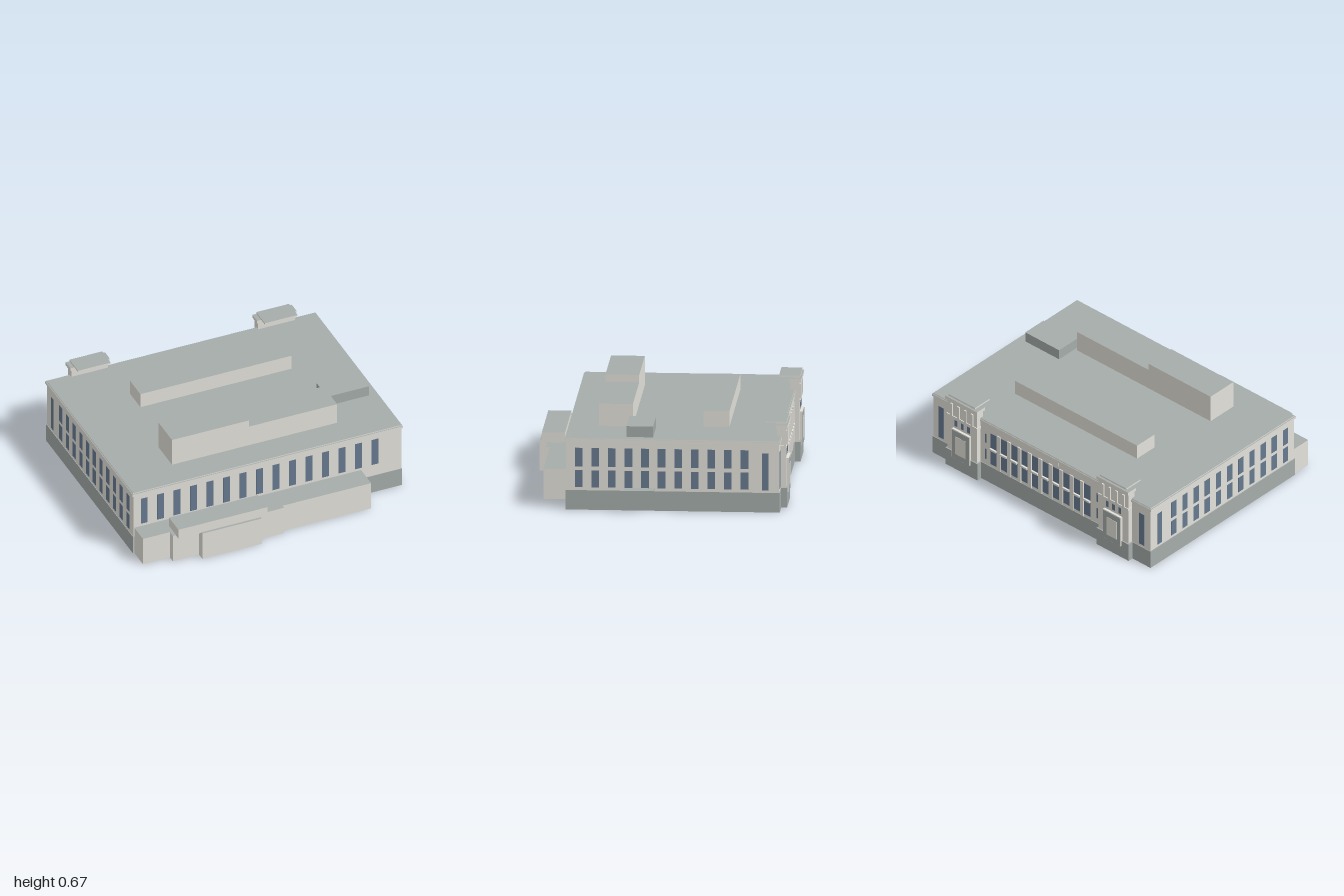
import * as THREE from 'three';

const mat = (name, color) => {
  const m = new THREE.MeshStandardMaterial({ color, side: THREE.DoubleSide });
  m.name = name;
  return m;
};

export function createModel() {
  const stone = mat('pale stone', 0xe4e2db);
  const grey = mat('grey stone and roofing', 0xa5adab);
  const glass = mat('blue glass', 0x687b91);
  const model = new THREE.Group();
  model.name = 'civicBuilding';

  // Box from its limits; top may differ in colour, faces in skip are left open
  // (face order: 0 +x, 1 -x, 2 +y, 3 -y, 4 +z, 5 -z)
  function block(name, [x0, x1], [y0, y1], [z0, z1], side = stone, top = side, skip = [], parent = model) {
    const g = new THREE.BoxGeometry(x1 - x0, y1 - y0, z1 - z0);
    const all = Array.from(g.index.array), index = [];
    g.clearGroups();
    for (let f = 0; f < 6; f++) {
      if (skip.includes(f)) continue;
      g.addGroup(index.length, 6, f === 2 ? 1 : 0);
      index.push(...all.slice(f * 6, f * 6 + 6));
    }
    g.setIndex(index);
    g.translate((x0 + x1) / 2, (y0 + y1) / 2, (z0 + z1) / 2);
    if (side === top) g.clearGroups();
    const mesh = new THREE.Mesh(g, side === top ? side : [side, top]);
    mesh.name = name;
    parent.add(mesh);
    return mesh;
  }
  const around = (c, half) => [c - half, c + half];

  // Window plates on a wall facing z or x
  const T = 0.0015;
  const windowZ = (name, x, w, y, z, parent) => block(name, around(x, w / 2), y, around(z, T), glass, glass, [], parent);
  const windowX = (name, z, w, y, x) => block(name, around(x, T), y, around(z, w / 2), glass);

  // Main volume: plinth open underneath, body on top of it
  const X = [-0.991, 0.915], Z = [-0.79, 0.6];
  block('basePlinth', [-0.995, 0.919], [0, 0.13], [-0.794, 0.603], grey, grey, [3, 4]);
  block('frontPlinth', [0.627, 0.919], [0, 0.13], [0.6, 0.603], grey);
  block('mainBody', X, [0.13, 0.455], Z, stone, stone, [2, 3]);
  block('cornice', [-1, 0.922], [0.452, 0.468], [-0.797, 0.608], stone, grey);
  block('roofEdge', [-0.993, 0.915], [0.468, 0.475], [-0.79, 0.6], stone, grey);

  // Front windows
  for (let i = 0; i < 15; i++) windowZ('frontWindow', -0.914 + i * 0.1172, 0.048, [0.217, 0.415], Z[1]);

  // Side windows: two rows and one tall window near the back
  for (const x of X) {
    for (let i = 0; i < 11; i++) {
      const z = 0.516 - i * 0.108;
      windowX('sideWindowLower', z, 0.05, [0.149, 0.263], x);
      windowX('sideWindowUpper', z, 0.05, [0.288, 0.412], x);
    }
    windowX('sideWindowTall', -0.7, 0.042, [0.147, 0.393], x);
  }

  // Canopy on the left side
  block('sideCanopy', [0.915, 1], [0.138, 0.149], [0.02, 0.22], grey);

  // Low front annexes, open underneath
  const annex = (x, z, name = 'frontAnnex') => block(name, x, [0, 0.2], z, stone, grey, [3, 5]);
  annex([-0.985, -0.794], [0.602, 0.742]);
  annex([-0.794, -0.003], [0.602, 0.79]);
  annex([-0.003, 0.627], [0.602, 0.765]);
  annex([-0.608, -0.185], [0.79, 0.843], 'frontVestibule');
  block('annexUpperBlock', [-0.77, -0.138], [0.195, 0.266], [0.675, 0.826], stone, grey);

  // Rooftop volumes
  block('roofHouseTall', [-0.631, -0.084], [0.47, 0.671], [0.188, 0.408], stone, grey);
  block('roofHouseLow', [-0.084, 0.543], [0.47, 0.622], [0.188, 0.408], stone, grey);
  block('roofHouseBack', [-0.556, 0.517], [0.47, 0.578], [-0.44, -0.27], stone, grey);
  block('roofPlantRoom', [0.56, 0.857], [0.47, 0.547], [0.035, 0.209], grey);

  // Back colonnade: two-tier windows with projecting spandrels and pilasters between
  const step = 0.0915, firstX = -0.438;
  for (let i = 0; i < 10; i++) {
    const x = firstX + i * step;
    windowZ('backWindowLower', x, 0.054, [0.15, 0.262], Z[0]);
    windowZ('backWindowUpper', x, 0.054, [0.28, 0.395], Z[0]);
    block('backSpandrel', around(x, 0.027), [0.264, 0.278], [-0.803, -0.788], stone);
    if (i < 9) block('backPilaster', around(x + step / 2, 0.015), [0.13, 0.405], [-0.797, -0.788], stone);
  }
  block('backPlaque', around(-0.03, 0.16), [0.425, 0.452], [-0.796, -0.788], stone);
  for (const x of [-0.525, 0.455]) {
    windowZ('backSlitLower', x, 0.014, [0.17, 0.25], Z[0]);
    windowZ('backSlitUpper', x, 0.014, [0.3, 0.37], Z[0]);
  }
  for (const x of [-0.915, 0.845]) windowZ('backCornerWindow', x, 0.045, [0.147, 0.393], Z[0]);

  // Entrance towers at the back
  for (const c of [-0.697, 0.631]) {
    const tower = new THREE.Group();
    tower.name = 'entranceTower';
    model.add(tower);
    const part = (name, half, y, z, side = stone, top = side, x = c) =>
      block(name, around(x, half), y, z, side, top, [], tower);
    part('towerBase', 0.14, [0, 0.13], [-0.832, -0.78], grey);
    part('towerShaft', 0.13, [0.13, 0.53], [-0.823, -0.765]);
    part('towerStringCourse', 0.134, [0.395, 0.41], [-0.829, -0.765]);
    part('towerCornice', 0.14, [0.525, 0.548], [-0.836, -0.76], stone, grey);
    part('towerNeck', 0.1, [0.548, 0.558], [-0.82, -0.77]);
    part('towerCap', 0.116, [0.556, 0.567], [-0.828, -0.69], stone, grey);
    // Portal: stone surround, grey infill, stone inner panel
    part('portalFrame', 0.078, [0.09, 0.318], [-0.84, -0.8]);
    part('portalInfill', 0.074, [0.092, 0.312], [-0.8415, -0.835], grey);
    part('portalPanel', 0.045, [0.13, 0.27], [-0.843, -0.835]);
    for (const k of [-1, 0, 1]) windowZ('towerWindow', c + k * 0.055, 0.024, [0.335, 0.382], -0.823, tower);
    for (const k of [-1.5, -0.5, 0.5, 1.5]) part('towerFin', 0.009, [0.41, 0.505], [-0.832, -0.82], stone, stone, c + k * 0.06);
  }
  return model;
}
